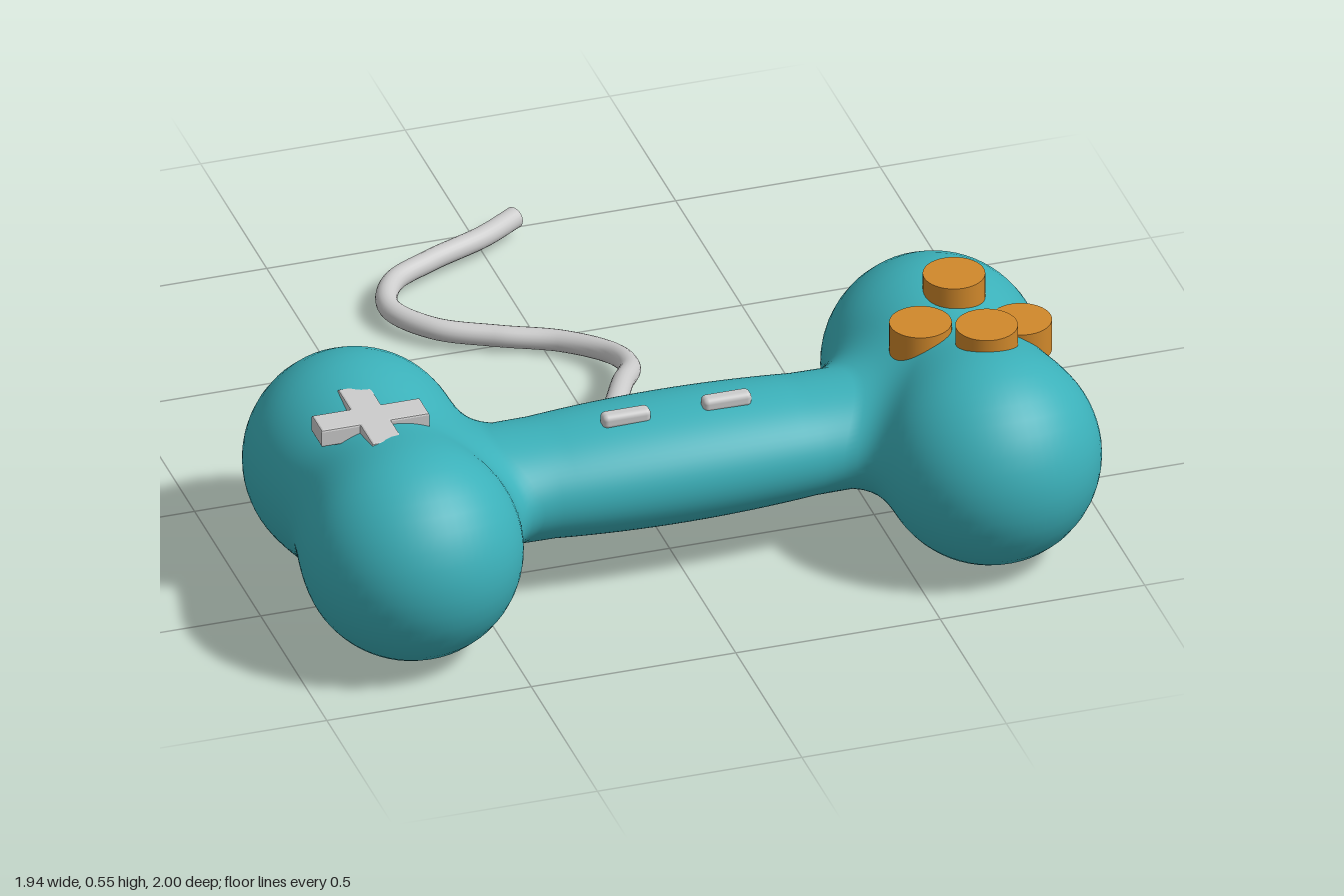
import * as THREE from 'three';
import { RoundedBoxGeometry } from 'three/addons/geometries/RoundedBoxGeometry.js';

const CY = 0.265, CZ = 0.518;         // body axis
const KNOB_X = 0.707, KNOB_Z = 0.218, KNOB_R = 0.261;

// Smooth union of two distances
const blend = (a, b, k) => {
  const h = Math.max(k - Math.abs(a - b), 0) / k;
  return Math.min(a, b) - h * h * k / 4;
};

// Distance to one half of the bone: two knobs and the oval shaft
function boneDistance(x, y, z) {
  const knob = s => Math.hypot(x - KNOB_X, y, z - s * KNOB_Z) - KNOB_R;
  const taper = 0.018 * Math.min(1, (x / 0.38) ** 2);
  const ry = 0.146 - taper, rz = 0.185 - taper;
  const shaft = Math.max((Math.hypot(y / ry, z / rz) - 1) * 0.15, x - 0.55);
  return blend(blend(knob(1), knob(-1), 0.23), shaft, 0.1);
}

// Walk out from (ox, 0, 0) along a direction to the surface
function surfacePoint(ox, dx, dy, dz) {
  let lo = 0, hi = 0.7;
  for (let i = 0; i < 26; i++) {
    const t = (lo + hi) / 2;
    if (boneDistance(ox + dx * t, dy * t, dz * t) < 0) lo = t; else hi = t;
  }
  return [ox + dx * lo, dy * lo, dz * lo];
}

// Rings: straight across the shaft, then fanned around the knobs
function boneGeometry() {
  const SIDES = 72, FAN = 48, half = [];
  for (let i = 0; i <= 8; i++) half.push({ x: i * 0.04, dx: 0, r: 1 });
  for (let i = 0; i <= FAN; i++) {
    const a = 0.46 + (Math.PI - 0.46) * i / FAN;
    half.push({ x: KNOB_X, dx: -Math.cos(a), r: Math.sin(a) });
  }
  const rings = [
    ...half.slice(1).reverse().map(h => ({ ...h, side: -1 })),
    ...half.map(h => ({ ...h, side: 1 })),
  ];
  const pos = [], index = [];
  rings.forEach((ring, i) => {
    for (let j = 0; j < SIDES; j++) {
      const t = j / SIDES * Math.PI * 2;
      const p = surfacePoint(ring.x, ring.dx, ring.r * Math.cos(t), ring.r * Math.sin(t));
      pos.push(p[0] * ring.side, p[1] + CY, p[2] + CZ);
      if (i === rings.length - 1) continue;
      const k = (j + 1) % SIDES;
      const a = i * SIDES + j, b = i * SIDES + k, c = a + SIDES, d = b + SIDES;
      index.push(a, b, c, b, d, c);
    }
  });
  const geo = new THREE.BufferGeometry();
  geo.setAttribute('position', new THREE.Float32BufferAttribute(pos, 3));
  geo.setIndex(index);
  geo.computeVertexNormals();
  return geo;
}

// Plus-shaped pad with softened edges, lying flat
function plusGeometry(arm, w, height) {
  const b = 0.005, L = arm - b, W = w - b;
  const pts = [[W, L], [-W, L], [-W, W], [-L, W], [-L, -W], [-W, -W],
    [-W, -L], [W, -L], [W, -W], [L, -W], [L, W], [W, W]];
  const shape = new THREE.Shape(pts.map(p => new THREE.Vector2(...p)));
  const geo = new THREE.ExtrudeGeometry(shape, {
    depth: height - 2 * b, bevelThickness: b, bevelSize: b, bevelSegments: 2,
  });
  return geo.translate(0, 0, b).rotateX(-Math.PI / 2);
}

export function createModel() {
  const model = new THREE.Group();
  const mat = (name, color) => new THREE.MeshStandardMaterial({ name, color });
  const teal = mat('teal', 0x3bb0b9);
  const orange = mat('orange', 0xd0882b);
  const grey = mat('light grey', 0xcccccc);

  const add = (name, geo, material, x = 0, y = 0, z = 0) => {
    const mesh = new THREE.Mesh(geo, material);
    mesh.name = name;
    mesh.position.set(x, y, z);
    model.add(mesh);
    return mesh;
  };

  add('boneBody', boneGeometry(), teal);

  // Four round buttons
  const button = new THREE.CylinderGeometry(0.073, 0.073, 0.08, 40);
  [['backButton', 0.73, 0.515, 0.393], ['frontButton', 0.73, 0.515, 0.64],
    ['innerButton', 0.608, 0.475, 0.517], ['outerButton', 0.853, 0.438, 0.517]]
    .forEach(([name, x, y, z]) => add(name, button, orange, x, y, z));

  // Direction pad
  add('directionPad', plusGeometry(0.132, 0.038, 0.045), grey, -0.737, 0.467, 0.518);

  // Two small centre buttons
  const pill = new RoundedBoxGeometry(0.118, 0.036, 0.038, 4, 0.013);
  for (const x of [-0.125, 0.121]) add('centreButton', pill, grey, x, 0.413, 0.553);

  // Wavy cord with closed ends
  const cord = new THREE.CatmullRomCurve3([
    [0, 0.147, 0.08], [0.065, 0.122, -0.06], [0.125, 0.082, -0.19],
    [0.121, 0.048, -0.32], [0.035, 0.033, -0.43], [-0.1, 0.036, -0.492],
    [-0.235, 0.043, -0.56], [-0.305, 0.046, -0.67], [-0.265, 0.046, -0.78],
    [-0.15, 0.046, -0.85], [0, 0.046, -0.915], [0.098, 0.046, -0.977],
  ].map(p => new THREE.Vector3(...p)));
  const R = 0.026;
  add('cord', new THREE.TubeGeometry(cord, 120, R, 20), grey);
  for (const t of [0, 1]) {
    const p = cord.getPoint(t), dir = cord.getTangent(t).multiplyScalar(t ? 1 : -1);
    const cap = add('cordEnd', new THREE.CircleGeometry(R, 20), grey, p.x, p.y, p.z);
    cap.quaternion.setFromUnitVectors(new THREE.Vector3(0, 0, 1), dir);
  }
  return model;
}
